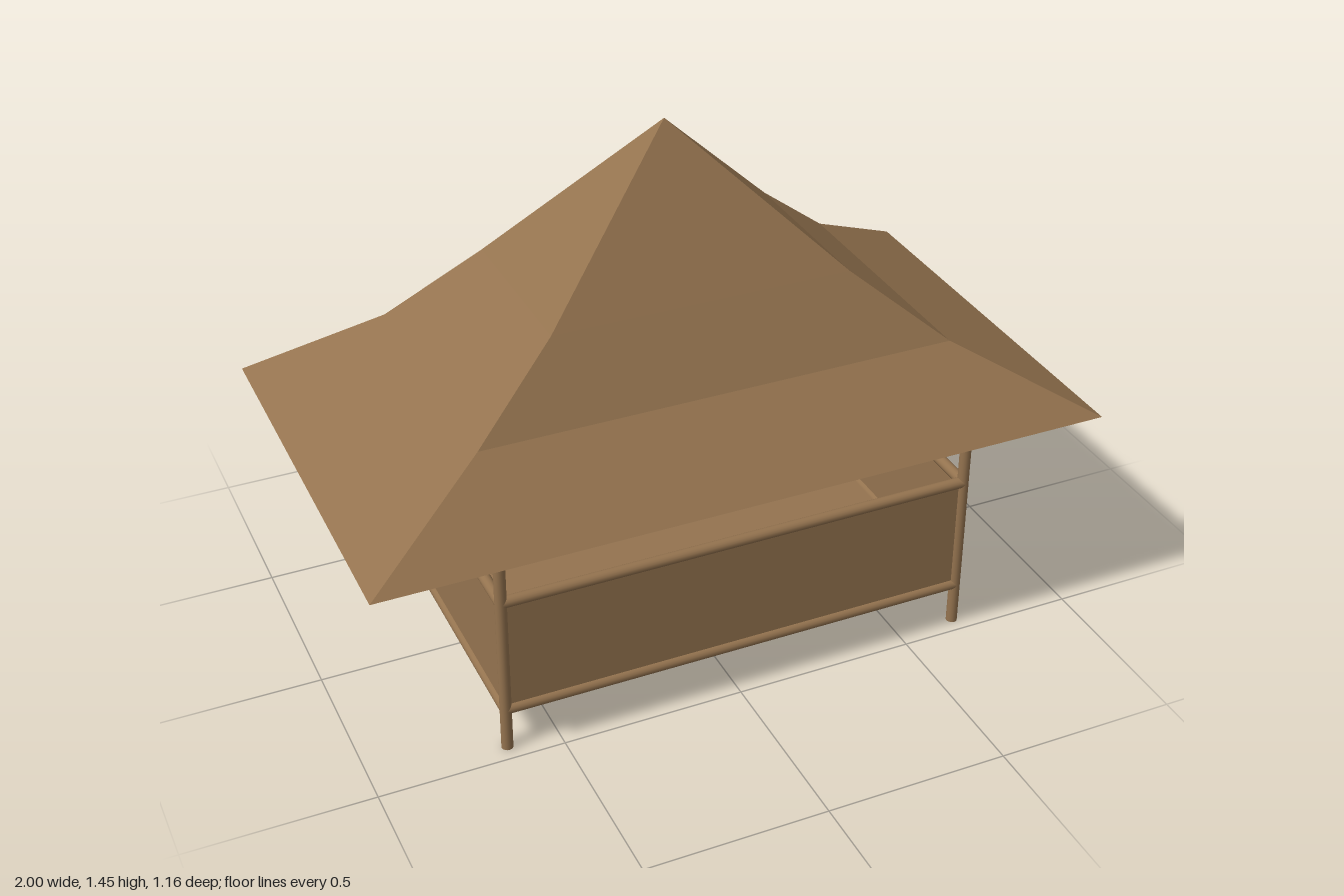
import * as THREE from 'three';

export function createModel() {
  const group = new THREE.Group();
  const wood = new THREE.MeshStandardMaterial({ color: 0x94734f, side: THREE.DoubleSide });
  wood.name = 'brown wood';

  const R = 0.0155;
  const X0 = -0.64, X1 = 0.67, Z0 = -0.455, Z1 = 0.452;
  const LOW = 0.124, RAIL = 0.457, BEAM = 0.70;

  const add = (name, geometry) => {
    const mesh = new THREE.Mesh(geometry, wood);
    mesh.name = name;
    group.add(mesh);
    return mesh;
  };

  // Round pole between two points
  const pole = (name, a, b) => {
    const from = new THREE.Vector3(...a), to = new THREE.Vector3(...b);
    const dir = to.clone().sub(from);
    const mesh = add(name, new THREE.CylinderGeometry(R, R, dir.length(), 16));
    mesh.position.copy(from).add(to).multiplyScalar(0.5);
    mesh.quaternion.setFromUnitVectors(new THREE.Vector3(0, 1, 0), dir.normalize());
  };

  // Thin wall panel between the low rail and the hand rail
  const panel = (name, a, b) => {
    const t = 0.008;
    const mesh = add(name, new THREE.BoxGeometry(
      Math.abs(b[0] - a[0]) || t, RAIL - LOW, Math.abs(b[1] - a[1]) || t));
    mesh.position.set((a[0] + b[0]) / 2, (LOW + RAIL) / 2, (a[1] + b[1]) / 2);
  };

  // Posts: four corners plus three along the back
  const posts = [[X0, Z0], [X1, Z0], [X0, Z1], [X1, Z1], [-0.47, Z0], [-0.168, Z0], [0.265, Z0]];
  for (const [x, z] of posts) pole('post', [x, 0, z], [x, BEAM, z]);

  // Floor rails and roof beams all the way round
  const corners = [[X0, Z0], [X1, Z0], [X1, Z1], [X0, Z1]];
  corners.forEach(([x, z], i) => {
    const [u, w] = corners[(i + 1) % 4];
    pole('floorRail', [x, LOW, z], [u, LOW, w]);
    pole('roofBeam', [x, BEAM, z], [u, BEAM, w]);
  });

  // Half walls with hand rails, leaving a doorway at the back
  const walls = {
    frontWall: [[X0, Z1], [X1, Z1]],
    leftWall: [[X1, Z0], [X1, Z1]],
    rightWall: [[X0, Z0], [X0, Z1]],
    backWallLeft: [[0.265, Z0], [X1, Z0]],
    backWallMiddle: [[-0.168, Z0], [0.265, Z0]],
    backWallRight: [[X0, Z0], [-0.47, Z0]],
  };
  for (const [name, [a, b]] of Object.entries(walls)) {
    panel(name, a, b);
    pole('handRail', [a[0], RAIL, a[1]], [b[0], RAIL, b[1]]);
  }

  // Floor
  const floor = add('floor', new THREE.BoxGeometry(X1 - X0, 0.012, Z1 - Z0));
  floor.position.set((X0 + X1) / 2, LOW, (Z0 + Z1) / 2);

  // Flared hip roof: rectangles [half width, y, half depth] rising to a point
  const tiers = [[1, 0.65, 0.58], [0.65, 0.85, 0.365], [0.41, 1.05, 0.247], [0, 1.45, 0]];
  const signs = [[-1, 1], [1, 1], [1, -1], [-1, -1]];
  const at = (t, s) => [tiers[t][0] * s[0], tiers[t][1], tiers[t][2] * s[1]];
  const points = [];
  for (let t = 0; t < tiers.length - 1; t++) {
    for (let k = 0; k < 4; k++) {
      const s = signs[k], n = signs[(k + 1) % 4];
      points.push(...at(t, s), ...at(t, n), ...at(t + 1, n));
      if (t < tiers.length - 2) points.push(...at(t, s), ...at(t + 1, n), ...at(t + 1, s));
    }
  }
  const roof = new THREE.BufferGeometry();
  roof.setAttribute('position', new THREE.Float32BufferAttribute(points, 3));
  roof.computeVertexNormals();
  add('roof', roof);

  return group;
}
